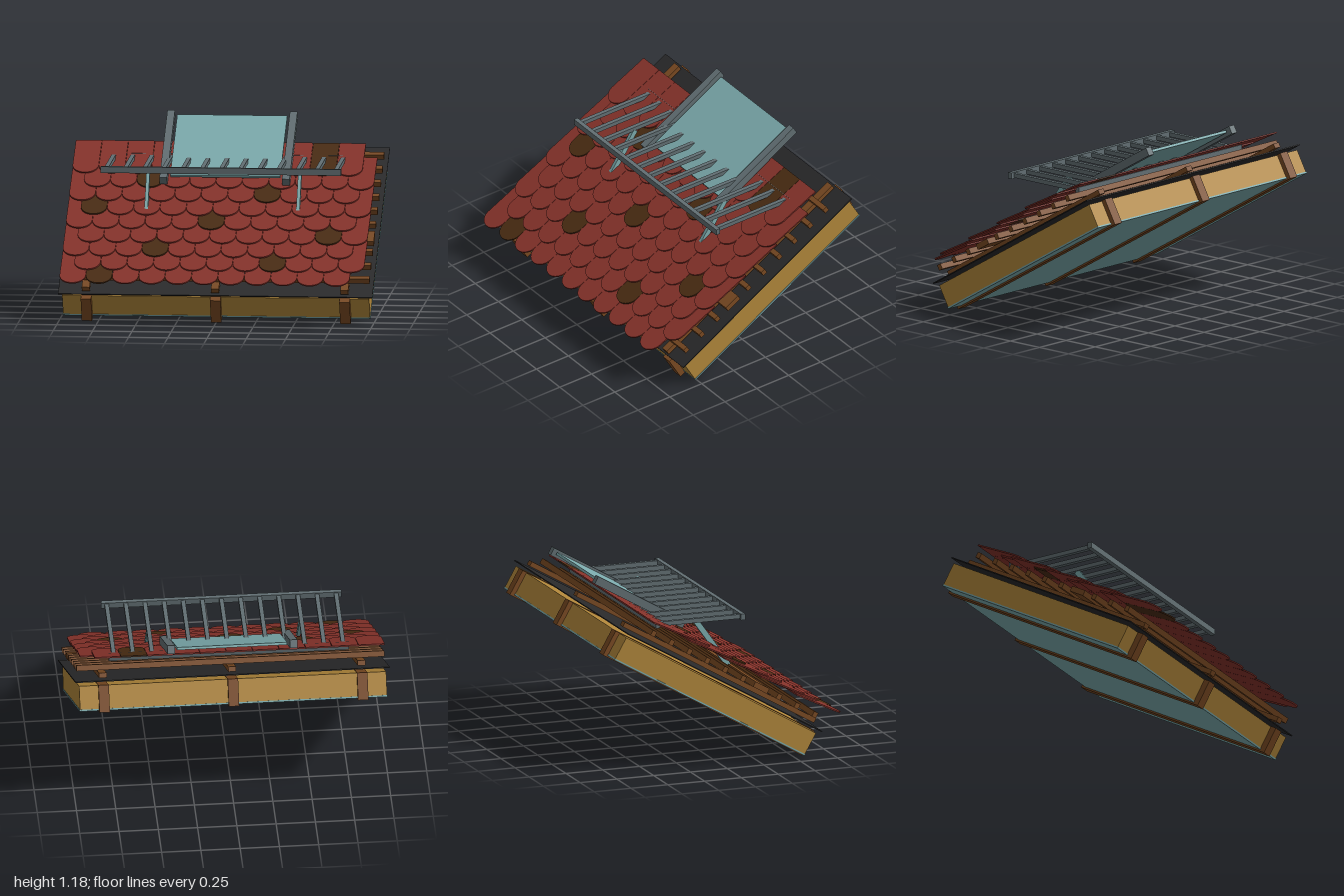
import * as THREE from 'three';

const material = (name, color) => {
  const m = new THREE.MeshStandardMaterial({ color });
  m.name = name;
  return m;
};

export function createModel() {
  const wood = material('brown wood', 0x7a4a22);
  const tan = material('tan insulation', 0xb0863a);
  const black = material('black membrane', 0x29292a);
  const red = material('red clay', 0x86322a);
  const darkBrown = material('dark brown clay', 0x492b12);
  const steel = material('grey steel', 0x626f73);
  const teal = material('pale teal', 0x7cabad);

  const model = new THREE.Group();
  model.name = 'roofSection';

  // Tilted frame: +z runs down the slope, +y is the roof normal
  const slope = new THREE.Group();
  slope.name = 'slopedLayers';
  slope.rotation.x = Math.PI / 6;
  model.add(slope);

  // Box given by its extents on each axis
  const box = (parent, name, mat, [x0, x1], [y0, y1], [z0, z1]) => {
    const mesh = new THREE.Mesh(new THREE.BoxGeometry(x1 - x0, y1 - y0, z1 - z0), mat);
    mesh.position.set((x0 + x1) / 2, (y0 + y1) / 2, (z0 + z1) / 2);
    mesh.name = name;
    parent.add(mesh);
    return mesh;
  };

  // Ceiling board, insulation and membrane
  box(slope, 'ceilingBoard', teal, [-0.98, 0.98], [0.291, 0.302], [-1.045, 0.448]);
  box(slope, 'insulation', tan, [-0.977, 0.977], [0.302, 0.452], [-1.042, 0.446]);
  box(slope, 'membrane', black, [-1, 1], [0.475, 0.482], [-1.06, 0.468]);

  // Rafters with counter battens above them
  for (const x of [-0.823, 0, 0.823]) {
    box(slope, 'rafter', wood, [x - 0.033, x + 0.033], [0.28, 0.455], [-1.073, 0.487]);
    box(slope, 'counterBatten', wood, [x - 0.025, x + 0.025], [0.498, 0.53], [-1.04, 0.46]);
  }

  // Tile battens; the wider one carries the struts
  const pitch = 0.1406;
  for (let i = 0; i < 10; i++) {
    const s = 0.379 - i * pitch;
    const half = i === 3 ? 0.055 : 0.016;
    box(slope, i === 3 ? 'strutPlank' : 'batten', wood, [-0.98, 0.98], [0.535, 0.572], [s - half, s + half]);
  }

  // Round-ended tile: the origin lies at the tip, the body runs up the slope
  const r = 0.083;
  const length = 0.358;
  const outline = new THREE.Shape();
  outline.moveTo(-r, length);
  outline.lineTo(-r, r);
  outline.absarc(0, r, r, Math.PI, Math.PI * 2, false);
  outline.lineTo(r, length);
  outline.closePath();
  const tileGeometry = new THREE.ExtrudeGeometry(outline, { depth: 0.009, bevelEnabled: false, curveSegments: 16 });
  tileGeometry.rotateX(-Math.PI / 2);

  // Staggered tile rows, one dark tile in each
  const darkColumn = [1, 7, 3, 9, 5, 0, 7, 2, 9];
  const tiles = new THREE.Group();
  tiles.name = 'tiles';
  slope.add(tiles);
  darkColumn.forEach((dark, row) => {
    for (let col = 0; col < 11; col++) {
      const tile = new THREE.Mesh(tileGeometry, col === dark ? darkBrown : red);
      tile.name = col === dark ? 'darkTile' : 'tile';
      tile.position.set(-0.9 + col * 0.168 + (row % 2) * 0.084, 0.634, 0.555 - row * pitch);
      tile.rotation.x = -0.067;
      tiles.add(tile);
    }
  });

  // Raised glazed panel between two steel beams
  box(slope, 'panel', teal, [-0.35, 0.35], [0.66, 0.677], [-1.127, -0.511]);
  for (const x of [-0.39, 0.39]) {
    box(slope, 'panelBeam', steel, [x - 0.024, x + 0.024], [0.64, 0.693], [-1.15, -0.46]);
  }

  // Level walkway grating
  box(model, 'frontRail', steel, [-0.765, 0.765], [0.896, 0.936], [0.185, 0.214]);
  box(model, 'backRail', steel, [-0.765, 0.765], [0.896, 0.938], [-0.394, -0.366]);
  for (let i = 0; i < 13; i++) {
    const x = (i - 6) * 0.1217;
    box(model, 'slat', steel, [x - 0.0135, x + 0.0135], [0.902, 0.93], [-0.37, 0.19]);
  }

  // Slanted struts holding the walkway
  for (const x of [-0.483, 0.483]) {
    const strut = box(model, 'strut', teal, [x - 0.011, x + 0.011], [0.49, 0.94], [0.055, 0.091]);
    strut.rotation.x = -0.62;
    strut.position.set(x, 0.718, 0.073);
  }

  return model;
}
